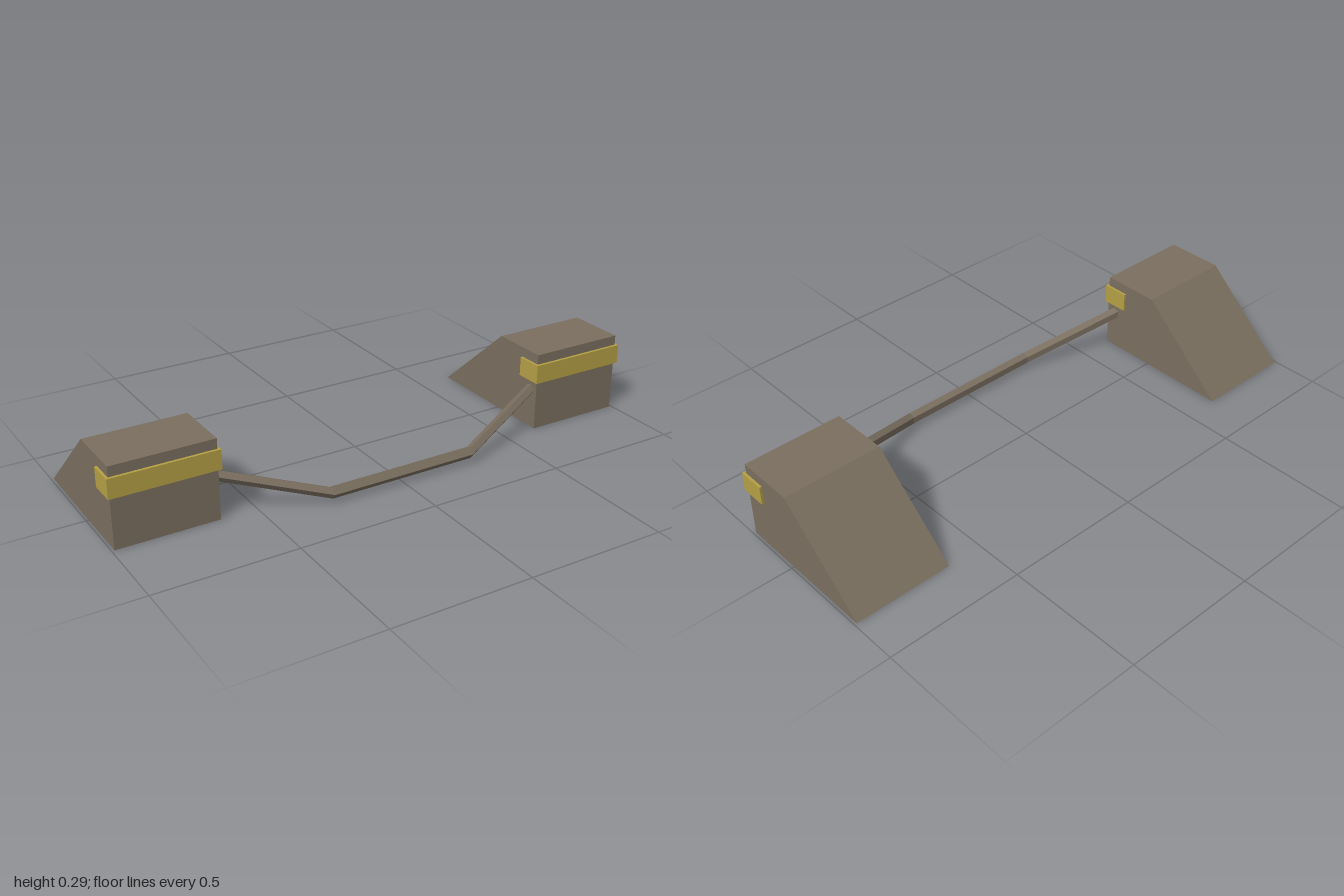
import * as THREE from 'three';

const stone = new THREE.MeshStandardMaterial({ color: 0x7a6e5f });
stone.name = 'brown';
const gold = new THREE.MeshStandardMaterial({ color: 0xb5a045 });
gold.name = 'yellow';

// Wedge block: side profile (z, y) extruded along x
function blockGeometry(width) {
  const s = new THREE.Shape();
  s.moveTo(-0.215, 0);
  s.lineTo(0.326, 0);
  s.lineTo(0, 0.288);
  s.lineTo(-0.215, 0.288);
  s.closePath();
  const g = new THREE.ExtrudeGeometry(s, { depth: width, bevelEnabled: false });
  g.translate(0, 0, -width / 2);
  g.rotateY(Math.PI / 2); // profile +x becomes -z
  return g;
}

// Five-sided bar swept through the path points, keeping its section in the yz plane
function barGeometry(path, radius, sides) {
  const pos = [];
  const point = (i, j) => {
    const a = (j / sides) * Math.PI * 2;
    const [x, y, z] = path[i];
    return [x, y + Math.sin(a) * radius, z + Math.cos(a) * radius];
  };
  for (let i = 0; i < path.length - 1; i++) {
    for (let j = 0; j < sides; j++) {
      const a = point(i, j), b = point(i + 1, j);
      const c = point(i + 1, j + 1), d = point(i, j + 1);
      pos.push(...a, ...b, ...c, ...a, ...c, ...d);
    }
  }
  // End caps
  const last = path.length - 1;
  for (let j = 0; j < sides; j++) {
    pos.push(...path[0], ...point(0, j), ...point(0, j + 1));
    pos.push(...path[last], ...point(last, j + 1), ...point(last, j));
  }
  const g = new THREE.BufferGeometry();
  g.setAttribute('position', new THREE.Float32BufferAttribute(pos, 3));
  g.computeVertexNormals();
  return g;
}

export function createModel() {
  const model = new THREE.Group();
  const add = (name, geometry, material, x, y, z) => {
    const m = new THREE.Mesh(geometry, material);
    m.name = name;
    m.position.set(x, y, z);
    model.add(m);
  };

  // End blocks with bands
  const block = blockGeometry(0.36);
  const band = new THREE.BoxGeometry(0.378, 0.07, 0.097);
  for (const [side, label] of [[1, 'left'], [-1, 'right']]) {
    add(label + 'Block', block, stone, side * 0.811, 0, 0);
    add(label + 'Band', band, gold, side * 0.811, 0.217, 0.1765);
  }

  // Sagging bar between the blocks
  const path = [
    [-0.64, 0.148, 0.177], [-0.275, 0.038, 0.306],
    [0.275, 0.038, 0.306], [0.64, 0.148, 0.177],
  ];
  add('connectingBar', barGeometry(path, 0.021, 5), stone, 0, 0, 0);

  return model;
}
